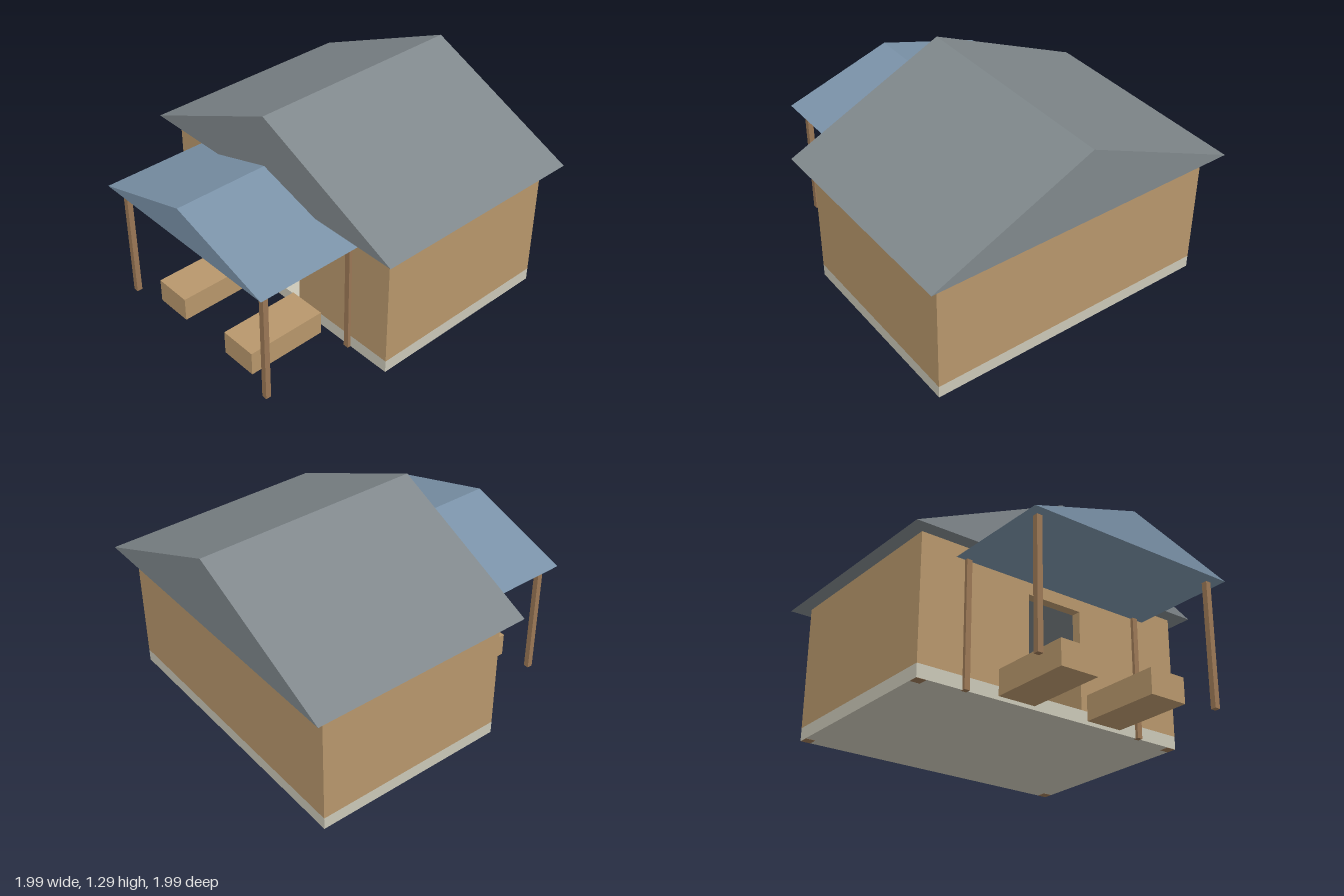
import * as THREE from 'three';

const material = (color) => new THREE.MeshStandardMaterial({ color, flatShading: true });

export function createModel() {
  const model = new THREE.Group();
  const tan = material(0xb8976c);
  const wood = material(0x9b7856);
  const cream = material(0xcbc8b8);
  const grey = material(0x80888c);
  const blue = material(0x7a92a8);

  const add = (name, geometry, mat) => {
    const mesh = new THREE.Mesh(geometry, mat);
    mesh.name = name;
    model.add(mesh);
    return mesh;
  };

  // Box given by its extents on each axis
  const box = (name, mat, [x0, x1], [y0, y1], [z0, z1]) =>
    add(name, new THREE.BoxGeometry(x1 - x0, y1 - y0, z1 - z0), mat)
      .position.set((x0 + x1) / 2, (y0 + y1) / 2, (z0 + z1) / 2);

  // Outline drawn in the front plane and extruded from z0 to z1
  const extrude = (name, mat, points, z0, z1) => {
    const shape = new THREE.Shape(points.map(([x, y]) => new THREE.Vector2(x, y)));
    const geometry = new THREE.ExtrudeGeometry(shape, { depth: z1 - z0, bevelEnabled: false });
    return add(name, geometry.translate(0, 0, z0), mat);
  };

  const halfW = 0.905, back = -0.903, front = 0.312;
  const floorTop = 0.08, eaves = 0.84, wall = 0.06;

  // Floor slab
  box('floorSlab', cream, [-halfW, halfW], [0.001, floorTop], [back, front]);

  // Walls around an open doorway
  extrude('frontWall', tan, [
    [-halfW, floorTop], [-0.185, floorTop], [-0.185, 0.685], [0.185, 0.685],
    [0.185, floorTop], [halfW, floorTop], [halfW, eaves], [-halfW, eaves],
  ], front - wall, front);
  box('backWall', tan, [-halfW, halfW], [floorTop, eaves], [back, back + wall]);
  for (const [name, x] of [['leftWall', halfW - wall], ['rightWall', -halfW]]) {
    box(name, tan, [x, x + wall], [floorTop, eaves], [back + wall, front - wall]);
  }

  // Solid gable roofs
  extrude('mainRoof', grey, [[-0.995, eaves], [0.995, eaves], [0, 1.29]], -0.995, 0.4);
  extrude('porchRoof', blue, [[-0.68, 0.76], [0.68, 0.76], [0, 0.97]], front, 0.995);

  for (const side of [-1, 1]) {
    // Corner posts hidden in the walls, their feet showing underneath
    for (const z of [back + 0.032, front - 0.032]) {
      const x = side * (halfW - 0.032);
      box('cornerPost', wood, [x - 0.03, x + 0.03], [0, eaves], [z - 0.03, z + 0.03]);
    }
    // Porch posts
    for (const z of [0.92, 0.315]) {
      const x = side * 0.606;
      box('porchPost', wood, [x - 0.017, x + 0.017], [0, 0.765], [z - 0.017, z + 0.017]);
    }
    // Benches either side of the doorway
    const x = side * 0.305;
    box('bench', tan, [x - 0.12, x + 0.12], [0, 0.152], [0.36, 0.873]);
  }
  return model;
}
